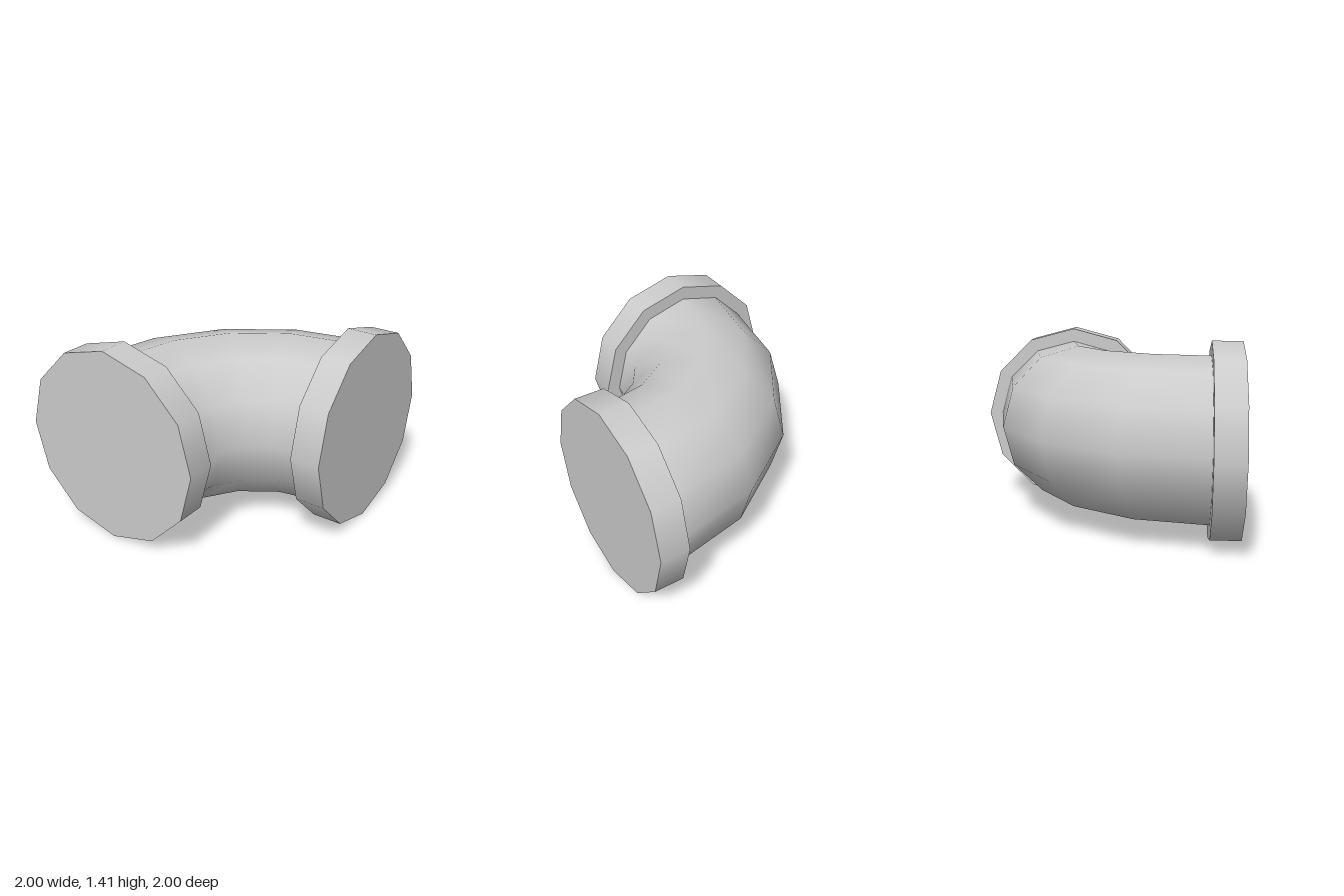
import * as THREE from 'three';

const SIDES = 12;
const AXIS_Y = 0.706;    // height of the pipe's centre line
const BEND = 1.085;      // radius of the bend's centre line
const PIPE_R = 0.603;
const FLANGE_R = 0.706;
const FLANGE_T = 0.215;
const PIVOT = 0.79;      // the bend turns about (-PIVOT, PIVOT) in x, z

export function createModel() {
  const model = new THREE.Group();
  model.name = 'pipeElbow';
  const material = new THREE.MeshStandardMaterial({ color: 0xcccccc });

  const add = (name, geometry) => {
    const mesh = new THREE.Mesh(geometry, material);
    mesh.name = name;
    model.add(mesh);
    return mesh;
  };

  // Quarter bend lying flat, smooth shaded, with four segments along its length
  const bend = new THREE.TorusGeometry(BEND, PIPE_R, SIDES, 4, Math.PI / 2);
  bend.rotateX(-Math.PI / 2);
  add('bend', bend).position.set(-PIVOT, AXIS_Y, PIVOT);

  // Closed flange on each end of the bend
  const flange = () => new THREE.CylinderGeometry(FLANGE_R, FLANGE_R, FLANGE_T, SIDES);
  const offset = 1 - FLANGE_T / 2;
  const centre = BEND - PIVOT;
  add('frontFlange', flange().rotateX(Math.PI / 2)).position.set(centre, AXIS_Y, offset);
  add('sideFlange', flange().rotateZ(Math.PI / 2)).position.set(-offset, AXIS_Y, -centre);

  return model;
}
